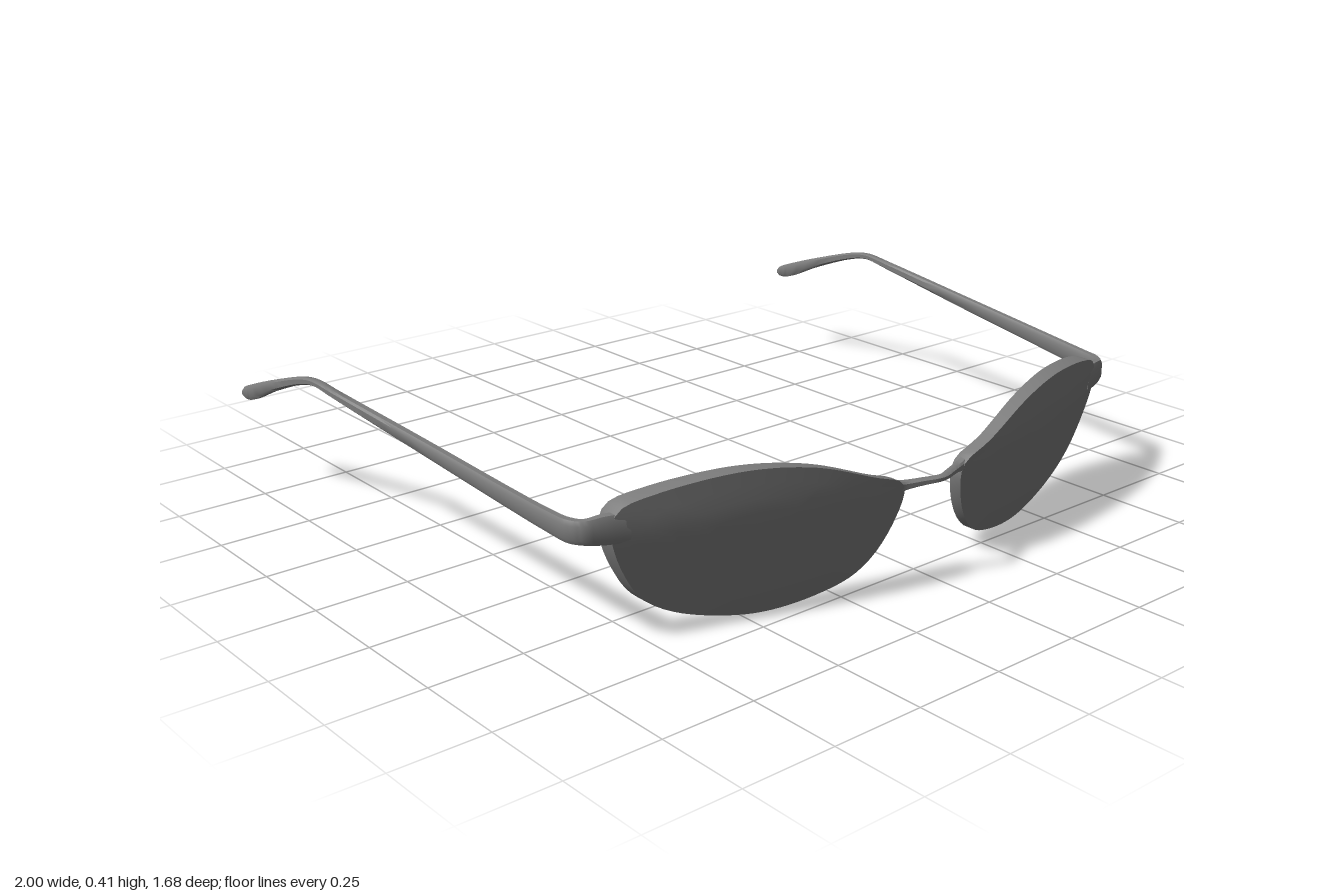
import * as THREE from 'three';
import { toCreasedNormals } from 'three/addons/utils/BufferGeometryUtils.js';

const graphite = new THREE.MeshStandardMaterial({ color: 0x7c7c7c });
graphite.name = 'graphite';

const V = (x, y, z) => new THREE.Vector3(x, y, z);

// Skin a list of closed rings; side -1 mirrors the result across x
function loft(rings, side = 1) {
  const n = rings[0].length, pos = [], idx = [];
  rings.forEach(r => r.forEach(p => pos.push(p.x * side, p.y, p.z)));
  for (let k = 0; k < rings.length - 1; k++) {
    for (let i = 0; i < n; i++) {
      const j = (i + 1) % n;
      const a = k * n + i, b = a + n, c = (k + 1) * n + j, d = k * n + j;
      if (side > 0) idx.push(a, b, c, a, c, d);
      else idx.push(a, c, b, a, d, c);
    }
  }
  const geo = new THREE.BufferGeometry();
  geo.setAttribute('position', new THREE.Float32BufferAttribute(pos, 3));
  geo.setIndex(idx);
  return toCreasedNormals(geo, 0.7);
}

// Sweep a softly chamfered bar through sections [x, y, z, halfWidth, halfHeight]
function sweep(sections, side = 1) {
  const path = new THREE.CatmullRomCurve3(sections.map(s => V(s[0], s[1], s[2])));
  const size = new THREE.CatmullRomCurve3(sections.map(s => V(s[3], s[4], s[0] * 0.01 + s[2])));
  const profile = [[1, -0.6], [1, 0.6], [0.6, 1], [-0.6, 1], [-1, 0.6], [-1, -0.6], [-0.6, -1], [0.6, -1]];
  const steps = (sections.length - 1) * 5, rings = [];
  for (let i = 0; i <= steps; i++) {
    const p = path.getPoint(i / steps), t = path.getTangent(i / steps), s = size.getPoint(i / steps);
    const right = V(-t.z, 0, t.x).normalize();
    rings.push(profile.map(([u, v]) => p.clone().addScaledVector(right, u * s.x).add(V(0, v * s.y, 0))));
  }
  // Close both ends
  const cap = p => profile.map(() => p.clone());
  return loft([cap(path.getPoint(0)), ...rings, cap(path.getPoint(1))], side);
}

// Wrapped front surface: sweeps back outward and tucks under at the bottom
const frontZ = (x, y) =>
  0.812 - 0.32 * Math.max(0, x - 0.15) ** 1.4 - 0.065 * Math.max(0, 1 - y / 0.3) ** 1.25;
const rimDepth = x => 0.04 + 0.02 * THREE.MathUtils.clamp((x - 0.2) / 0.6, 0, 1);

// Lens outline, counter-clockwise from the nose side
const outline = new THREE.CatmullRomCurve3([
  [0.10, 0.25], [0.136, 0.135], [0.205, 0.055], [0.31, 0.017], [0.457, 0.001], [0.607, 0.027],
  [0.70, 0.064], [0.757, 0.108], [0.805, 0.185], [0.832, 0.255], [0.838, 0.295], [0.82, 0.34],
  [0.74, 0.368], [0.537, 0.391], [0.366, 0.371], [0.205, 0.315], [0.115, 0.28],
].map(([x, y]) => V(x, y, 0)), true).getSpacedPoints(80).slice(0, 80);

const inset = outline.map((p, i) => {
  const t = outline[(i + 1) % 80].clone().sub(outline[(i + 79) % 80]).normalize();
  return V(p.x - t.y * 0.03, p.y + t.x * 0.03, 0);
});

const center = V(0.46, 0.21, 0);
// Ring shrunk toward the lens centre and set behind the front surface
const ring = (pts, scale, depth) => pts.map(p => {
  const q = center.clone().lerp(p, scale);
  q.z = frontZ(q.x, q.y) - depth(q.x);
  return q;
});

export function createModel() {
  const model = new THREE.Group();
  model.name = 'eyeglasses';
  const add = (name, geo) => {
    const mesh = new THREE.Mesh(geo, graphite);
    mesh.name = name;
    model.add(mesh);
  };
  const scales = [0, 0.2, 0.4, 0.6, 0.8, 1];
  const flush = () => 0, lensBack = () => 0.014;

  for (const side of [1, -1]) {
    const label = side > 0 ? 'left' : 'right';

    // Lens: front face covers the rim, back face sits inside it
    add(label + 'LensFront', loft(scales.map(s => ring(outline, s, flush)), side));
    add(label + 'LensBack', loft([...scales].reverse().map(s => ring(inset, s, lensBack)), side));

    // Rim behind the lens edge
    add(label + 'Rim', loft([
      ring(outline, 1, flush),
      ring(outline, 1, x => rimDepth(x) * 0.75),
      ring(outline, 0.985, rimDepth),
      ring(inset, 1, rimDepth),
      ring(inset, 1, lensBack),
    ], side));

    // End piece, temple arm and drooping ear tip in one bar
    add(label + 'Temple', sweep([
      [0.79, 0.294, 0.622, 0.016, 0.036],
      [0.85, 0.296, 0.606, 0.015, 0.034],
      [0.888, 0.296, 0.592, 0.013, 0.029],
      [0.908, 0.297, 0.565, 0.013, 0.028],
      [0.917, 0.301, 0.52, 0.012, 0.026],
      [0.957, 0.358, 0, 0.012, 0.017],
      [0.982, 0.395, -0.33, 0.012, 0.01],
      [0.987, 0.404, -0.42, 0.012, 0.008],
      [0.987, 0.392, -0.49, 0.012, 0.01],
      [0.987, 0.335, -0.66, 0.012, 0.016],
      [0.987, 0.284, -0.79, 0.013, 0.022],
      [0.987, 0.273, -0.83, 0.012, 0.016],
      [0.987, 0.27, -0.843, 0.01, 0.008],
    ], side));
  }

  // Nose bridge bowing forward
  const half = [
    [0.13, 0.262, 0.79, 0.014, 0.022],
    [0.10, 0.264, 0.796, 0.012, 0.012],
    [0.05, 0.268, 0.815, 0.011, 0.008],
  ];
  add('bridge', sweep([
    ...half.map(([x, ...rest]) => [-x, ...rest]),
    [0, 0.27, 0.831, 0.011, 0.007],
    ...[...half].reverse(),
  ]));

  return model;
}
